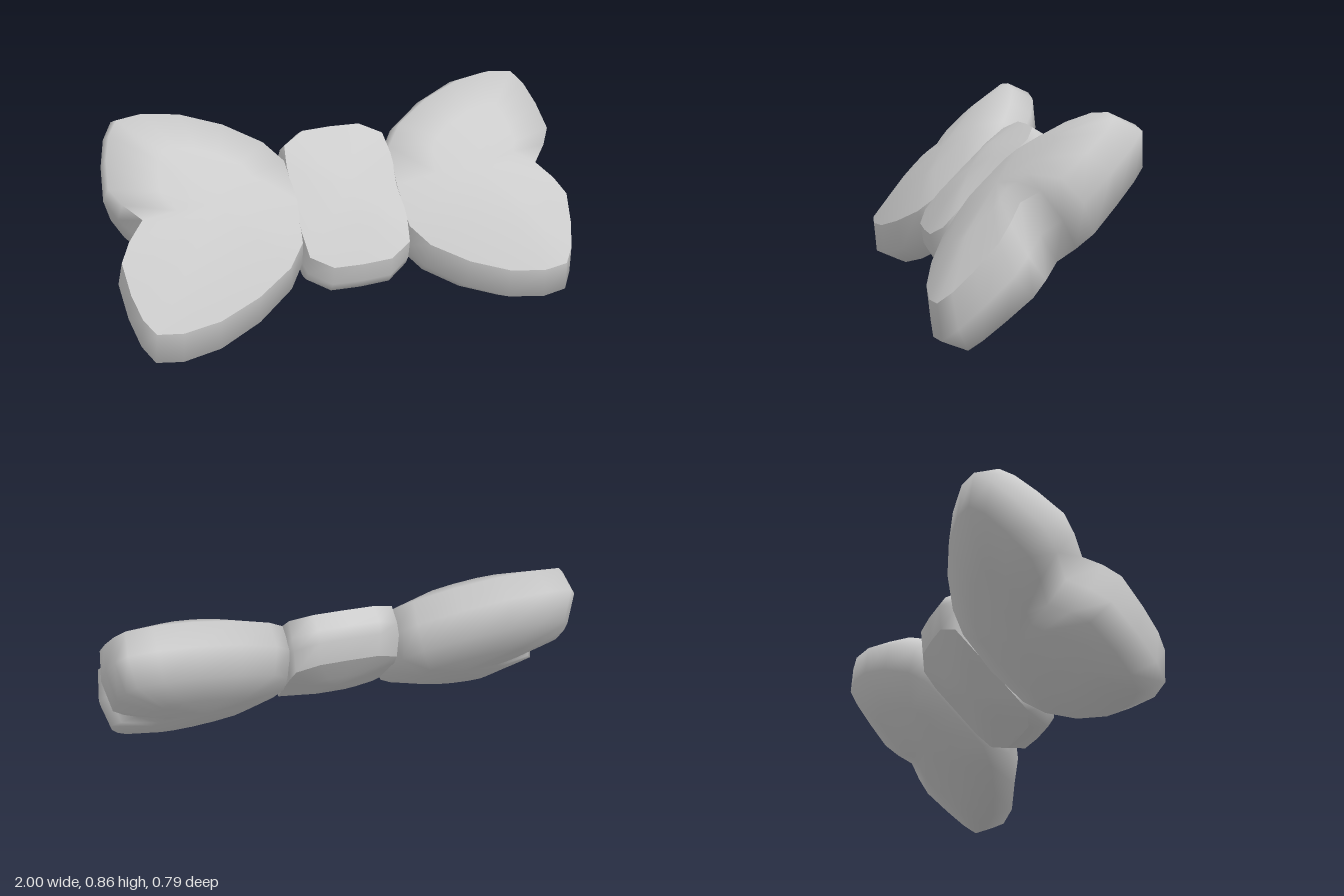
import * as THREE from 'three';

// Padded shape: a closed counter-clockwise outline, scaled about (cx, 0) at several depths.
// Each ring is [scaleX, scaleY, depth, rise], back to front; rise adds depth along the middle.
// A repeated ring is a sharp edge wherever it lies below the height creaseBelow.
function cushion(name, outline, cx, rings, depthAt, creaseBelow) {
  const pos = [], idx = [], n = outline.length;
  for (const [sx, sy, depth, rise = 0] of rings) {
    for (const [x, y] of outline) {
      const px = cx + (x - cx) * sx, py = y * sy;
      const d = depth + rise * Math.max(0, 1 - Math.abs(py) / 0.35);
      pos.push(px, py, d * depthAt(px));
    }
  }
  for (let r = 0; r < rings.length - 1; r++) {
    if (rings[r] === rings[r + 1]) continue;
    for (let i = 0; i < n; i++) {
      const j = (i + 1) % n, a = r * n + i, b = r * n + j;
      idx.push(a, b, b + n, a, b + n, a + n);
    }
  }
  // centre points close the back and the front
  const back = pos.length / 3, last = (rings.length - 1) * n;
  pos.push(cx, 0, rings[0][2] * 1.03, cx, 0, rings[rings.length - 1][2] * 1.03);
  for (let i = 0; i < n; i++) {
    const j = (i + 1) % n;
    idx.push(back, j, i, back + 1, last + i, last + j);
  }
  const geo = new THREE.BufferGeometry();
  geo.setAttribute('position', new THREE.Float32BufferAttribute(pos, 3));
  geo.setIndex(idx);
  // slight slant of the rim
  geo.applyMatrix4(new THREE.Matrix4().set(
    1, 0, 0, 0,
    0, 1, 0.23, 0,
    0, 0, 1, 0,
    0, 0, 0, 1));
  geo.computeVertexNormals();
  // blend the normals of repeated rings above the creased stretch
  const normal = geo.attributes.normal, a = new THREE.Vector3(), b = new THREE.Vector3();
  for (let r = 0; r < rings.length - 1; r++) {
    if (rings[r] !== rings[r + 1]) continue;
    for (let i = r * n; i < (r + 1) * n; i++) {
      if (pos[i * 3 + 1] < creaseBelow) continue;
      a.fromBufferAttribute(normal, i).add(b.fromBufferAttribute(normal, i + n)).normalize();
      normal.setXYZ(i, a.x, a.y, a.z);
      normal.setXYZ(i + n, a.x, a.y, a.z);
    }
  }
  const mesh = new THREE.Mesh(geo, new THREE.MeshStandardMaterial({ color: 0xcccccc }));
  mesh.name = name;
  return mesh;
}

export function createModel() {
  const model = new THREE.Group();
  model.name = 'bow';

  // Loops: heart-like outline with a notch in the outer end
  const lower = [
    [0.21, 0], [0.225, -0.21], [0.30, -0.32], [0.46, -0.435], [0.64, -0.515], [0.80, -0.541],
    [0.91, -0.525], [0.955, -0.45], [0.985, -0.33], [1.0, -0.18], [0.955, -0.09], [0.885, 0],
  ];
  const upper = lower.slice(1, -1).reverse().map(([x, y]) => [x, -y]);
  const outline = [...lower, ...upper];
  const mirrored = outline.map(([x, y]) => [-x, y]).reverse();
  const loopEdge = [0.965, 0.88, 0.108, 0.028];
  const loopRings = [
    [0.52, 0.52, -0.154], [0.93, 0.88, -0.105, -0.02], [1, 1, 0],
    loopEdge, loopEdge, [0.5, 0.5, 0.168],
  ];
  const taper = (x) => 0.88 + 0.12 * THREE.MathUtils.smoothstep(Math.abs(x), 0.2, 0.45);
  model.add(cushion('leftLoop', outline, 0.58, loopRings, taper, 0.02));
  model.add(cushion('rightLoop', mirrored, -0.58, loopRings, taper, 0.02));

  // Knot: chamfered block in the middle, with straight sides
  const corner = [[0.237, 0.17], [0.225, 0.28], [0.13, 0.345], [0, 0.35]];
  const half = [...corner, ...corner.slice(0, -1).reverse().map(([x, y]) => [-x, y])];
  const knotOutline = [...half, ...half.map(([x, y]) => [-x, -y])];
  const knotEdge = [0.985, 0.9, 0.1, 0.025], knotBack = [0.97, 0.8, -0.085, -0.025];
  model.add(cushion('knot', knotOutline, 0, [
    [0.5, 0.4, -0.125], knotBack, knotBack, [1, 1, -0.02], [1, 1, 0.03],
    knotEdge, knotEdge, [0.5, 0.45, 0.14],
  ], () => 1, 1));

  // Lean the bow back
  model.children.forEach((part) => {
    part.rotation.x = -Math.PI / 4;
    part.position.y = 0.43;
  });
  return model;
}
